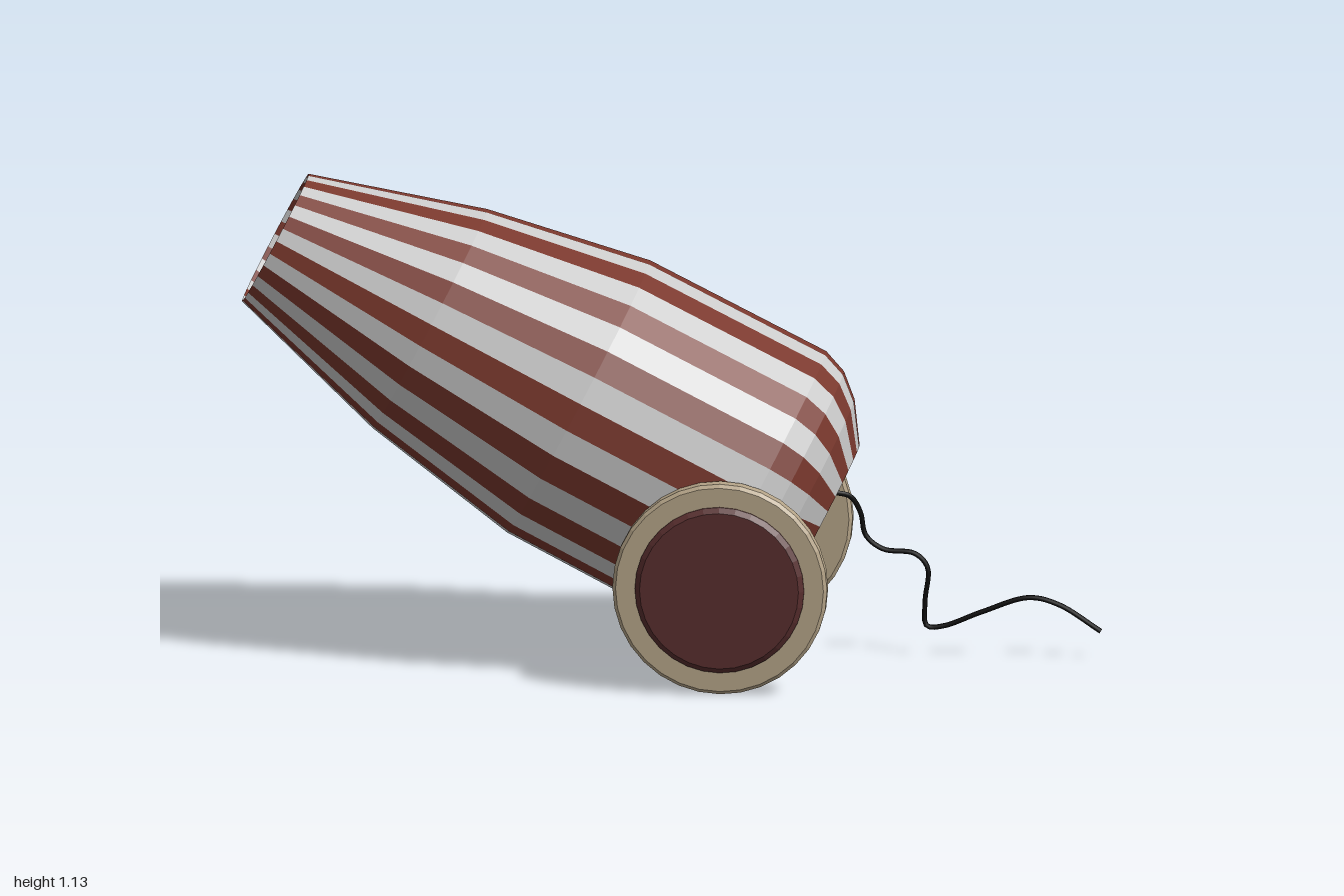
import * as THREE from 'three';
import { mergeGeometries } from 'three/addons/utils/BufferGeometryUtils.js';

const SIDES = 32;
const paint = (color, side = THREE.FrontSide) =>
  new THREE.MeshStandardMaterial({ color, side, flatShading: true });
const profile = (pts) => pts.map(([r, y]) => new THREE.Vector2(r, y));

function part(name, geometry, material, parent) {
  const mesh = new THREE.Mesh(geometry, material);
  mesh.name = name;
  parent.add(mesh);
  return mesh;
}

// Every second lengthwise strip of the barrel, merged into one geometry
function stripes(points, first) {
  const step = (Math.PI * 2) / SIDES;
  const strips = [];
  for (let i = first; i < SIDES; i += 2) {
    strips.push(new THREE.LatheGeometry(points, 1, i * step, step));
  }
  return mergeGeometries(strips);
}

export function createModel() {
  const model = new THREE.Group();
  model.name = 'cannon';
  const red = paint(0x7a382d, THREE.DoubleSide);
  const grey = paint(0xcccccc, THREE.DoubleSide);
  const beige = paint(0xb5a488);
  const maroon = paint(0x582e2e);

  // Barrel: open at the muzzle, tilted up toward -x
  const barrel = new THREE.Group();
  barrel.name = 'barrel';
  const outline = profile([
    [0.203, 0], [0.292, 0.06], [0.338, 0.112], [0.36, 0.17],
    [0.357, 0.63], [0.287, 1.02], [0.167, 1.425],
  ]);
  part('redStripes', stripes(outline, 0), red, barrel);
  part('greyStripes', stripes(outline, 1), grey, barrel);
  part('breechPlate', new THREE.CircleGeometry(0.203, SIDES).rotateX(Math.PI / 2), red, barrel);
  barrel.position.set(0.345, 0.325, 0);
  barrel.rotation.z = 1.093;
  model.add(barrel);

  // Wheels: bevelled rim with a raised hub disc on the outer side
  const rim = new THREE.LatheGeometry(profile([
    [0, 0], [0.242, 0], [0.25, 0.008], [0.25, 0.04], [0.242, 0.048], [0, 0.048],
  ]), SIDES);
  const hub = new THREE.LatheGeometry(profile([
    [0.197, 0.04], [0.197, 0.052], [0.185, 0.063], [0, 0.063],
  ]), SIDES);
  for (const side of [1, -1]) {
    const wheel = new THREE.Group();
    wheel.name = side > 0 ? 'frontWheel' : 'backWheel';
    part('rim', rim, beige, wheel);
    part('hub', hub, maroon, wheel);
    wheel.position.set(0.145, 0.252, side * 0.352);
    wheel.rotation.x = (side * Math.PI) / 2;
    model.add(wheel);
  }

  // Fuse: a wavy cord trailing from the breech plate
  const path = new THREE.CatmullRomCurve3([
    [0.375, 0.393, -0.018], [0.415, 0.38, -0.035], [0.438, 0.34, -0.046],
    [0.45, 0.285, -0.05], [0.49, 0.253, -0.05], [0.565, 0.243, -0.05],
    [0.594, 0.21, -0.05], [0.588, 0.13, -0.05], [0.592, 0.072, -0.05],
    [0.63, 0.072, -0.05], [0.72, 0.107, -0.05], [0.83, 0.143, -0.05],
    [0.9, 0.127, -0.05], [0.997, 0.066, -0.05],
  ].map((p) => new THREE.Vector3(...p)));
  part('fuse', new THREE.TubeGeometry(path, 90, 0.006, 8),
    new THREE.MeshStandardMaterial({ color: 0x0a0a0a, side: THREE.DoubleSide }), model);

  return model;
}
